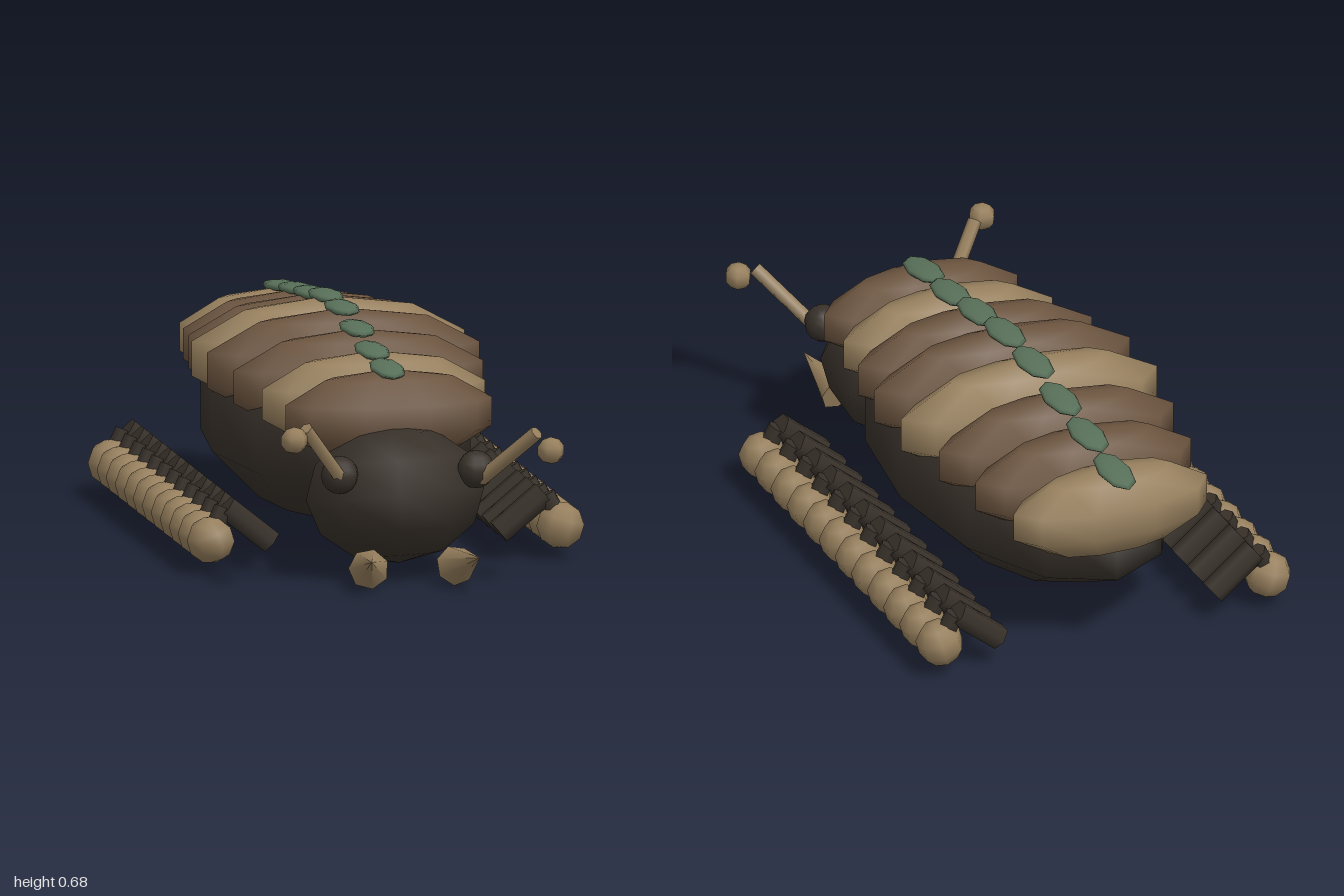
import * as THREE from 'three';

const mat = (name, color) => {
  const m = new THREE.MeshStandardMaterial({ color });
  m.name = name;
  return m;
};

export function createModel() {
  const model = new THREE.Group();
  const dark = mat('dark hide', 0x38312a);
  const brown = mat('brown shell', 0x6b543f);
  const tan = mat('tan shell', 0x967f5d);
  const green = mat('moss green', 0x587059);

  const add = (name, geometry, material, parent = model) => {
    const mesh = new THREE.Mesh(geometry, material);
    mesh.name = name;
    parent.add(mesh);
    return mesh;
  };
  // Low-poly ellipsoid
  const blob = (name, material, pos, size, w = 8, h = 5, parent = model) => {
    const mesh = add(name, new THREE.SphereGeometry(1, w, h), material, parent);
    mesh.position.set(...pos);
    mesh.scale.set(...size);
    return mesh;
  };
  // Tapered rod from a to b
  const rod = (name, material, a, b, r0, r1, sides = 6, parent = model) => {
    const start = new THREE.Vector3(...a), end = new THREE.Vector3(...b);
    const dir = end.clone().sub(start);
    const mesh = add(name, new THREE.CylinderGeometry(r1, r0, dir.length(), sides), material, parent);
    mesh.position.copy(start).add(end).multiplyScalar(0.5);
    mesh.quaternion.setFromUnitVectors(new THREE.Vector3(0, 1, 0), dir.normalize());
    return mesh;
  };

  // Body and head
  blob('body', dark, [0, 0.337, -0.2], [0.39, 0.285, 0.77], 12, 5);
  const head = blob('head', dark, [0, 0.245, 0.55], [0.265, 0.205, 0.3], 9, 6);
  head.rotation.set(-0.15, 0, 0.04);

  // Back plates with a green ridge stone on each
  const halfWidths = [0.31, 0.335, 0.375, 0.41, 0.41, 0.375, 0.345, 0.31];
  halfWidths.forEach((w, i) => {
    const z = 0.485 - i * 0.195;
    const k = (w - 0.31) / 0.1;
    const y = 0.465 + 0.045 * k;
    const ry = 0.138 + 0.032 * k;
    blob('backPlate', i % 3 === 1 ? tan : brown, [0, y, z], [w / 0.95, ry, 0.125], 10, 5);
    const stone = blob('ridgeStone', green, [0, y + ry - 0.003, z - 0.02 + (i < 4 ? 0 : -0.01)],
      [0.05, 0.016, 0.108], 8, 6);
    stone.rotation.x = (3.5 - i) * 0.025;
  });

  // Rows of legs: upper segment, lower segment and foot
  for (const s of [1, -1]) {
    for (let i = 0; i < 12; i++) {
      const z = -0.845 + i * 0.116;
      const leg = new THREE.Group();
      leg.name = s > 0 ? 'leftLeg' : 'rightLeg';
      model.add(leg);
      rod('upperLeg', dark, [s * 0.343, 0.093, z], [s * 0.478, 0.203, z], 0.039, 0.039, 6, leg);
      rod('lowerLeg', dark, [s * 0.483, 0.2, z], [s * 0.525, 0.115, z + 0.01], 0.03, 0.03, 6, leg);
      const foot = blob('foot', tan, [s * 0.526, 0.109, z + 0.012], [0.072, 0.07, 0.072], 7, 5, leg);
      foot.rotation.z = -s * 0.3;
    }
  }

  // Eyes and jaws
  for (const s of [1, -1]) {
    blob('eye', dark, [s * 0.205, 0.34, 0.73], [0.056, 0.056, 0.056], 10, 8);
    rod('jaw', tan, [s * 0.13, 0.066, 0.785], [s * 0.163, 0.12, 0.965], 0.06, 0, 7);
  }

  // Feelers with knobs, each set at its own angle
  rod('leftFeeler', tan, [0.215, 0.315, 0.755], [0.35, 0.472, 0.895], 0.021, 0.021);
  rod('rightFeeler', tan, [-0.215, 0.345, 0.765], [-0.335, 0.505, 0.85], 0.021, 0.021);
  blob('leftKnob', tan, [0.38, 0.428, 0.948], [0.042, 0.04, 0.045], 6, 5);
  blob('rightKnob', tan, [-0.382, 0.482, 0.905], [0.042, 0.04, 0.045], 6, 5);

  return model;
}
